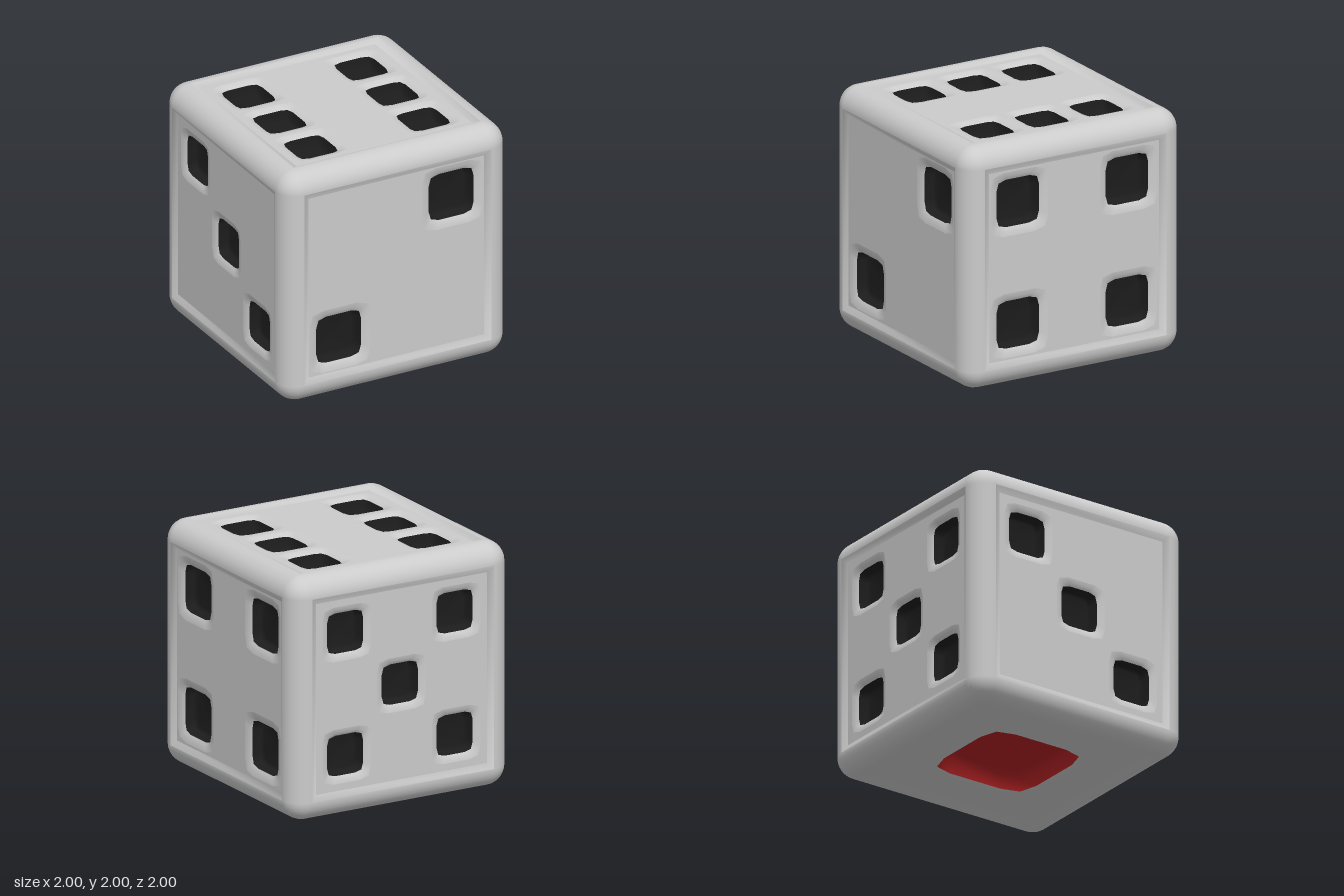
import * as THREE from 'three';
import { RoundedBoxGeometry } from 'three/addons/geometries/RoundedBoxGeometry.js';

const RADIUS = 0.17, FLAT = 1 - RADIUS, FACE = 0.975, INNER = 0.78;

const grey = new THREE.MeshStandardMaterial({ color: 0xcccccc });
const black = new THREE.MeshStandardMaterial({ color: 0x1c1c1c });
const red = new THREE.MeshStandardMaterial({ color: 0xb42224 });

// Soft-cornered square outline, counter-clockwise, for a half width of 1
const PIP = [];
for (let k = 0; k < 4; k++) {
  const c = Math.round(Math.cos(k * Math.PI / 2)), s = Math.round(Math.sin(k * Math.PI / 2));
  for (const [x, y] of [[1, -0.55], [1, 0.55], [0.9, 0.9]]) PIP.push([x * c - y * s, x * s + y * c]);
}
const SQUARE = [[1, -1], [1, 1], [-1, 1], [-1, -1]];

// Joins scaled copies of an outline; each ring is [scale, z], from the outside in
function loft(outline, rings) {
  const n = outline.length, pos = [], index = [];
  for (const [s, z] of rings) for (const [x, y] of outline) pos.push(x * s, y * s, z);
  for (let r = 0; r < rings.length - 1; r++) {
    for (let i = 0; i < n; i++) {
      const a = r * n + i, b = r * n + (i + 1) % n;
      index.push(a, b, a + n, b, b + n, a + n);
    }
  }
  const g = new THREE.BufferGeometry();
  g.setAttribute('position', new THREE.Float32BufferAttribute(pos, 3));
  g.setIndex(index);
  g.computeVertexNormals();
  return g;
}

function addMesh(parent, name, geometry, material, x = 0, y = 0) {
  const m = new THREE.Mesh(geometry, material);
  m.name = name;
  m.position.set(x, y, 0);
  parent.add(m);
}

// Rounded edges and corners: a rounded box without its six flat middles
function roundedEdges() {
  const g = new RoundedBoxGeometry(2, 2, 2, 4, RADIUS);
  const p = g.attributes.position, q = g.attributes.normal, pos = [], nor = [];
  for (let t = 0; t < p.count; t += 3) {
    const outside = ['getX', 'getY', 'getZ'].filter(
      (f) => Math.abs(p[f](t) + p[f](t + 1) + p[f](t + 2)) / 3 > FLAT);
    if (outside.length < 2) continue;
    for (let i = t; i < t + 3; i++) {
      pos.push(p.getX(i), p.getY(i), p.getZ(i));
      nor.push(q.getX(i), q.getY(i), q.getZ(i));
    }
  }
  const out = new THREE.BufferGeometry();
  out.setAttribute('position', new THREE.Float32BufferAttribute(pos, 3));
  out.setAttribute('normal', new THREE.Float32BufferAttribute(nor, 3));
  return out;
}

// One slightly sunken side with its pips, built facing +z
function side({ name, pips, size, rotation, material = black, floor = 0.86 }) {
  const group = new THREE.Group();
  group.name = name;
  group.rotation.set(...rotation);
  addMesh(group, 'sideBorder', loft(SQUARE, [[FLAT, 1], [INNER, FACE]]), grey);

  // Flat panel with an opening for each pip
  const flare = 1.35;
  const shape = new THREE.Shape(SQUARE.map(([x, y]) => new THREE.Vector2(x * INNER, y * INNER)));
  for (const [px, py] of pips) {
    shape.holes.push(new THREE.Path(PIP.map(
      ([x, y]) => new THREE.Vector2(px + x * size * flare, py + y * size * flare))));
  }
  addMesh(group, 'sidePanel', new THREE.ShapeGeometry(shape).translate(0, 0, FACE), grey);

  // Sloping grey lip and dark hollow of each pip
  const lip = loft(PIP, [[size * flare, FACE], [size * 1.15, 0.968], [size, 0.95]]);
  const hollow = loft(PIP, [[size, 0.95], [size * 0.93, floor + 0.02], [size * 0.8, floor], [0, floor]]);
  for (const [px, py] of pips) {
    addMesh(group, 'pipLip', lip, grey, px, py);
    addMesh(group, 'pipHollow', hollow, material, px, py);
  }
  return group;
}

export function createModel() {
  const model = new THREE.Group();
  model.name = 'die';
  const body = new THREE.Group();
  body.name = 'dieBody';
  body.position.y = 1;
  model.add(body);
  addMesh(body, 'roundedEdges', roundedEdges(), grey);

  const h = 0.5, q = Math.PI / 2;
  const rising = [[-h, -h], [h, h]], falling = [[-h, h], [h, -h]];
  const corners = [...rising, ...falling];
  const sides = [
    { name: 'frontSide', pips: rising, size: 0.2, rotation: [0, 0, 0] },
    { name: 'leftSide', pips: corners, size: 0.195, rotation: [0, q, 0] },
    { name: 'backSide', pips: [...corners, [0, 0]], size: 0.165, rotation: [0, 2 * q, 0] },
    { name: 'rightSide', pips: [...falling, [0, 0]], size: 0.17, rotation: [0, -q, 0] },
    { name: 'topSide', pips: [...corners, [-h, 0], [h, 0]], size: 0.17, rotation: [-q, 0, 0] },
    { name: 'bottomSide', pips: [[0, 0]], size: 0.44, rotation: [q, 0, 0], material: red, floor: 0.83 },
  ];
  for (const s of sides) body.add(side(s));
  return model;
}
